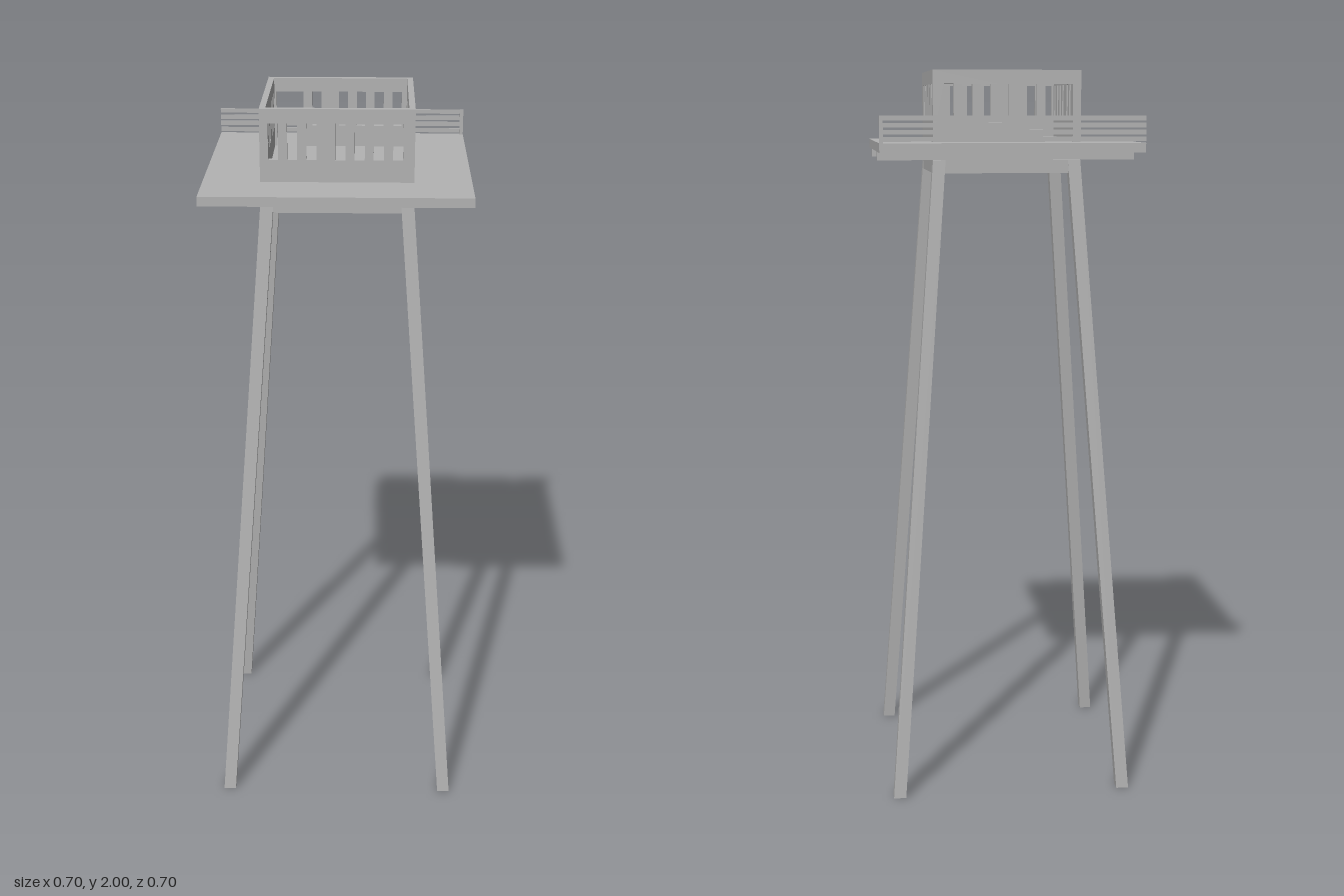
import * as THREE from 'three';

export function createModel() {
  const group = new THREE.Group();
  group.name = 'watchtower';
  const grey = new THREE.MeshStandardMaterial({ color: 0xb3b3b3 });
  grey.name = 'plain grey';

  const add = (name, geometry) => {
    const mesh = new THREE.Mesh(geometry, grey);
    mesh.name = name;
    group.add(mesh);
    return mesh;
  };
  // Box given by its minimum and maximum corners
  const box = (name, x0, x1, y0, y1, z0, z1) => {
    const g = new THREE.BoxGeometry(x1 - x0, y1 - y0, z1 - z0);
    g.translate((x0 + x1) / 2, (y0 + y1) / 2, (z0 + z1) / 2);
    return add(name, g);
  };

  // Four legs leaning inward: boxes sheared along both axes
  const legTop = 1.762, thick = 0.034;
  for (const sx of [-1, 1]) {
    for (const sz of [-1, 1]) {
      const g = new THREE.BoxGeometry(thick, legTop, thick).toNonIndexed();
      g.translate(0, legTop / 2, 0);
      const p = g.attributes.position;
      for (let i = 0; i < p.count; i++) {
        const c = THREE.MathUtils.lerp(0.316, 0.183, p.getY(i) / legTop);
        p.setX(i, p.getX(i) + sx * c);
        p.setZ(i, p.getZ(i) + sz * c);
      }
      g.computeVertexNormals();
      add('leg', g);
    }
  }

  // Square frame joining the leg tops, with two joists above it
  for (const s of [-1, 1]) {
    const a = s * 0.183;
    box('frameBeam', -0.2, 0.2, 1.727, 1.762, a - 0.017, a + 0.017);
    box('frameBeam', a - 0.017, a + 0.017, 1.727, 1.762, -0.166, 0.166);
    box('joist', -0.35, 0.35, 1.762, 1.785, s * 0.174 - 0.017, s * 0.174 + 0.017);
  }

  // Platform
  const deck = 1.81;
  box('platform', -0.35, 0.35, 1.785, deck, -0.35, 0.35);

  // Railing along the back edge: thin slats and one end post
  for (let i = 0; i < 4; i++) {
    const y = 1.814 + i * 0.018;
    box('railSlat', -0.35, 0.35, y, y + 0.012, -0.35, -0.346);
  }
  box('railPost', 0.34, 0.35, deck, 1.88, -0.346, -0.34);

  // Cabin walls with window slots; the back wall also has a doorway
  const wallT = 0.016;
  const wallGeometry = (u0, u1, windows, door) => {
    const shape = new THREE.Shape();
    shape.moveTo(u0, deck);
    if (door) {
      shape.lineTo(door[0], deck);
      shape.lineTo(door[0], 1.963);
      shape.lineTo(door[1], 1.963);
      shape.lineTo(door[1], deck);
    }
    shape.lineTo(u1, deck);
    shape.lineTo(u1, 2);
    shape.lineTo(u0, 2);
    shape.closePath();
    for (const c of windows) {
      const hole = new THREE.Path();
      hole.moveTo(c - 0.013, 1.868);
      hole.lineTo(c - 0.013, 1.963);
      hole.lineTo(c + 0.013, 1.963);
      hole.lineTo(c + 0.013, 1.868);
      hole.closePath();
      shape.holes.push(hole);
    }
    return new THREE.ExtrudeGeometry(shape, { depth: wallT, bevelEnabled: false });
  };

  const frontWindows = [-0.165, -0.116, -0.066, 0.008, 0.058, 0.107, 0.157];
  add('frontWall', wallGeometry(-0.2, 0.2, frontWindows)).position.z = 0.203 - wallT;
  add('backWall', wallGeometry(-0.2, 0.2, frontWindows.slice(2), [-0.178, -0.103])).position.z = -0.205;

  const sideWindows = [-0.166, -0.114, -0.064, 0.01, 0.061, 0.111, 0.161];
  for (const x of [0.2, -0.2 + wallT]) {
    const g = wallGeometry(-0.205 + wallT, 0.203 - wallT, sideWindows);
    g.rotateY(-Math.PI / 2);
    add('sideWall', g).position.x = x;
  }

  return group;
}
